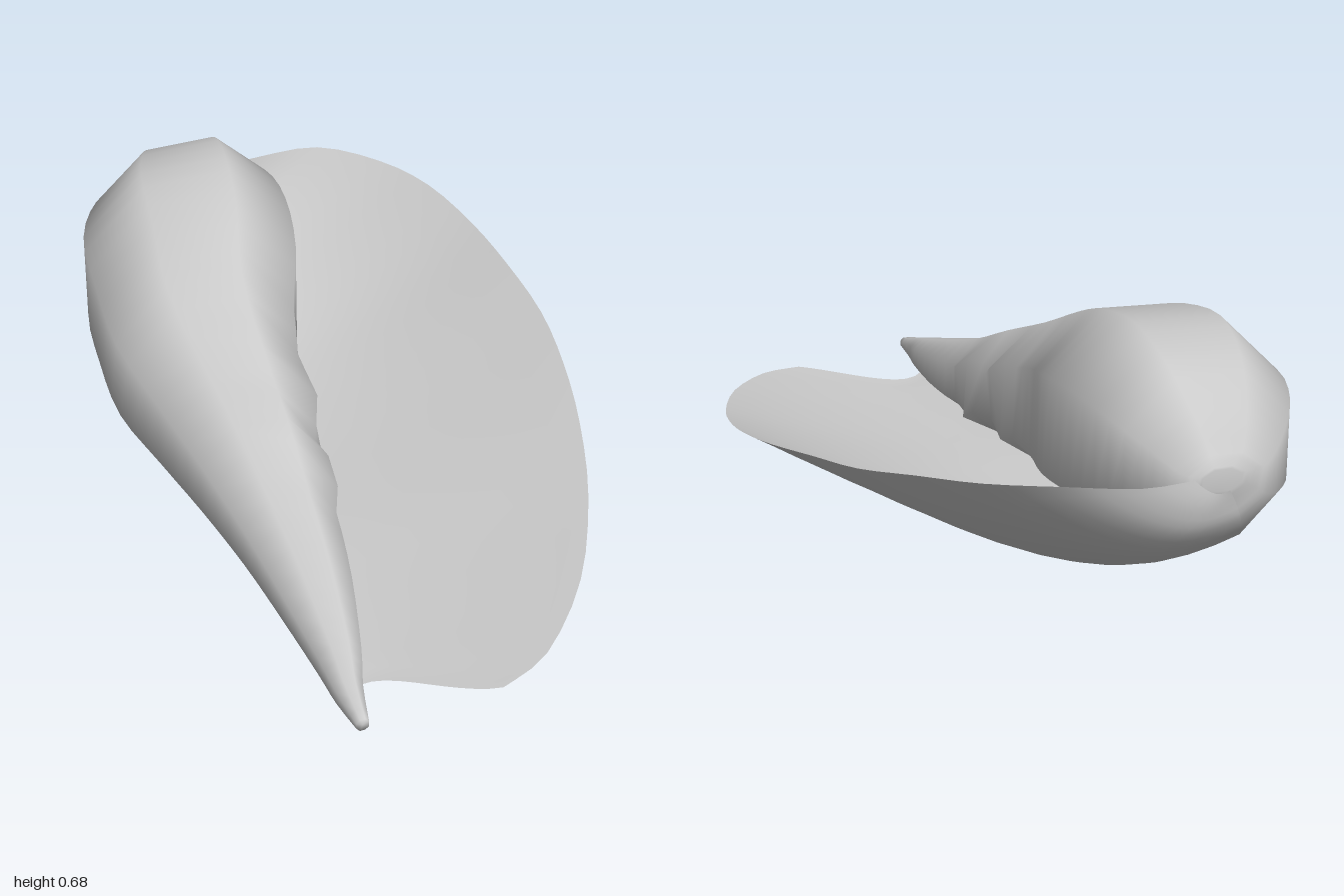
import * as THREE from 'three';

// Stations from back to front: z, body left x, right x, bottom y, top y, lip rim x, y, z
const stations = [
  [-0.985, -0.25, -0.15, 0.40, 0.46, -0.13, 0.445, -0.985],
  [-0.975, -0.29, -0.13, 0.355, 0.48, 0.01, 0.457, -1.0],
  [-0.96, -0.33, -0.11, 0.30, 0.50, 0.18, 0.48, -0.97],
  [-0.90, -0.40, -0.07, 0.22, 0.57, 0.33, 0.47, -0.86],
  [-0.78, -0.49, -0.02, 0.14, 0.65, 0.43, 0.45, -0.72],
  [-0.60, -0.56, -0.01, 0.06, 0.68, 0.50, 0.41, -0.55],
  [-0.40, -0.57, -0.035, 0.02, 0.64, 0.54, 0.375, -0.37],
  [-0.20, -0.56, -0.095, 0.003, 0.56, 0.57, 0.33, -0.17],
  [0.00, -0.50, -0.12, 0.005, 0.46, 0.567, 0.28, 0.02],
  [0.20, -0.44, -0.13, 0.01, 0.37, 0.54, 0.225, 0.22],
  [0.40, -0.385, -0.15, 0.01, 0.275, 0.48, 0.165, 0.45],
  [0.60, -0.345, -0.17, 0.01, 0.20, 0.37, 0.11, 0.70],
  [0.80, -0.31, -0.205, 0.01, 0.13, 0.22, 0.065, 0.89],
  [0.90, -0.295, -0.23, 0.01, 0.095, 0.09, 0.04, 0.955],
  [1.00, -0.275, -0.245, 0.025, 0.06, 0.09, 0.04, 0.955],
];
const SUB = 3;

// Vertical shift of each body corner, as a share of the section height
const cornerLift = [0.06, 0, -0.03, 0, 0.04, 0.08, 0.14, 0.06];

// Smooth in-between stations
function refine(rows) {
  const out = [];
  const at = (i) => rows[Math.min(Math.max(i, 0), rows.length - 1)];
  for (let i = 0; i < rows.length - 1; i++) {
    for (let s = 0; s < SUB; s++) {
      const t = s / SUB;
      out.push(rows[i].map((b, c) => {
        const a = at(i - 1)[c], d = at(i + 1)[c], e = at(i + 2)[c];
        return b + 0.5 * t * (d - a + t * (2 * a - 5 * b + 4 * d - e + t * (3 * (b - d) + e - a)));
      }));
    }
  }
  out.push(rows[rows.length - 1]);
  return out;
}

// Skin a list of equal-length point rows
function loft(rows, closed, name) {
  const n = rows[0].length, index = [];
  for (let i = 0; i < rows.length - 1; i++) {
    for (let k = 0; k < (closed ? n : n - 1); k++) {
      const a = i * n + k, b = i * n + (k + 1) % n;
      index.push(a, b, a + n, b, b + n, a + n);
    }
  }
  const geo = new THREE.BufferGeometry();
  geo.setAttribute('position', new THREE.Float32BufferAttribute(rows.flat(2), 3));
  geo.setIndex(index);
  geo.computeVertexNormals();
  const mesh = new THREE.Mesh(geo, new THREE.MeshStandardMaterial({ color: 0xcccccc, side: THREE.DoubleSide }));
  mesh.name = name;
  return mesh;
}

// Eight-sided body section, with slanting folds on the inner side
function bodyRing([z, xl, xr, yb, yt]) {
  const cx = (xl + xr) / 2, cy = (yb + yt) / 2, h = yt - yb;
  const rx = (xr - xl) / 2 / Math.cos(Math.PI / 8), ry = h / 2 / Math.cos(Math.PI / 8);
  const fold = Math.max(0, 1 - ((z - 0.17) / 0.3) ** 2);
  return cornerLift.map((lift, k) => {
    const a = (k + 0.5) * Math.PI / 4;
    let x = cx + rx * Math.cos(a), y = cy + ry * Math.sin(a) + lift * h;
    if (k === 0 || k === 7) {
      x += 0.02 * fold * Math.sin(z * 24 + k * 1.2);
      y += 0.022 * fold * Math.cos(z * 24 + k * 1.2);
    }
    return [x, y, z];
  });
}

// Flared lip section: leaves the body's lower left corner, dips, then rises to the rim
function lipRow(station) {
  const [z, , , yb, , rimX, rimY, rimZ] = station;
  const [x0, y0] = bodyRing(station)[5];
  const notch = 0.1 * THREE.MathUtils.smoothstep(z, 0.55, 0.88);
  const low = 0.27, steps = 12, row = [];
  for (let j = 0; j <= steps; j++) {
    const s = j / steps;
    const y = s < low
      ? yb + (y0 - yb) * (1 - s / low) ** 2
      : yb + (rimY - yb) * ((s - low) / (1 - low)) ** 1.6;
    row.push([
      x0 + (rimX - x0) * s,
      y,
      z + (rimZ - z) * s - notch * Math.abs(Math.sin(Math.PI * s ** 0.55)) ** 1.5,
    ]);
  }
  return row;
}

export function createModel() {
  const group = new THREE.Group();
  group.name = 'seashell';
  const rows = refine(stations);

  // Body whorl, closed at the apex and the tip
  const rings = rows.map(bodyRing);
  const cap = (ring) => {
    const c = [0, 1, 2].map((i) => ring.reduce((sum, p) => sum + p[i], 0) / 8);
    return ring.map(() => c);
  };
  group.add(loft([cap(rings[0]), ...rings, cap(rings[rings.length - 1])], true, 'bodyWhorl'));

  // Lip stops short of the tip
  group.add(loft(rows.slice(0, -SUB).map(lipRow), false, 'flaredLip'));
  return group;
}
